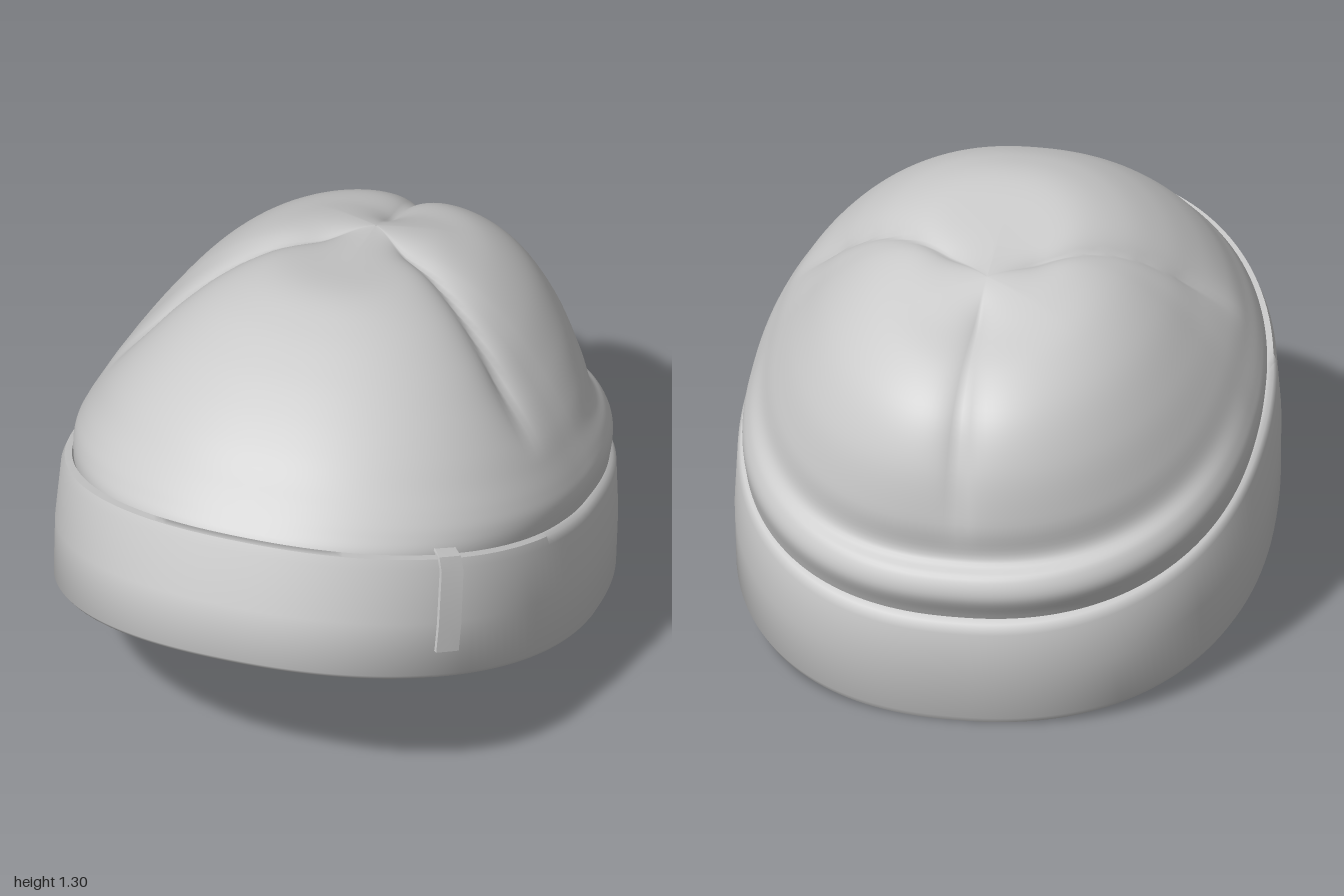
import * as THREE from 'three';
import { toCreasedNormals } from 'three/addons/utils/BufferGeometryUtils.js';

// A tilted ring is [front z, front y, back z, back y, half width, side z, side y].
function ringPoint([zf, yf, zb, yb, w, zs, ys], a) {
  const c = Math.cos(a), s = Math.sin(a);
  const k = Math.pow(Math.abs(c), 0.88);
  const x = w * Math.sign(s) * Math.pow(Math.abs(s), 0.88);
  const t = Math.pow(k, 1.12);
  return c > 0
    ? new THREE.Vector3(x, ys + (yf - ys) * t, zs + (zf - zs) * k)
    : new THREE.Vector3(x, ys + (yb - ys) * t, zs + (zb - zs) * k);
}

// Smoothly resample a list of rings
function resample(rings, count) {
  const pick = (i, j, t) => {
    const at = (n) => rings[Math.min(Math.max(n, 0), rings.length - 1)][j];
    const p0 = at(i - 1), p1 = at(i), p2 = at(i + 1), p3 = at(i + 2);
    return p1 + 0.5 * t * (p2 - p0 + t * (2 * p0 - 5 * p1 + 4 * p2 - p3 + t * (3 * (p1 - p2) + p3 - p0)));
  };
  return Array.from({ length: count + 1 }, (_, n) => {
    const u = (n / count) * (rings.length - 1);
    const i = Math.min(Math.floor(u), rings.length - 2);
    return rings[0].map((_, j) => pick(i, j, u - i));
  });
}

// Skin a grid of points, optionally closed along rows and across columns
function skin(rows, closeU, closeV) {
  const m = rows.length, n = rows[0].length, index = [];
  for (let i = 0; i < (closeV ? m : m - 1); i++) {
    for (let j = 0; j < (closeU ? n : n - 1); j++) {
      const i2 = (i + 1) % m, j2 = (j + 1) % n;
      const a = i * n + j, b = i * n + j2, c = i2 * n + j2, d = i2 * n + j;
      index.push(a, b, d, b, c, d);
    }
  }
  const g = new THREE.BufferGeometry().setFromPoints(rows.flat());
  g.setIndex(index);
  g.computeVertexNormals();
  return g;
}

const SEGMENTS = 160;
const fullRing = (r) =>
  Array.from({ length: SEGMENTS }, (_, j) => ringPoint(r, (j / SEGMENTS) * Math.PI * 2));

// Three seams spread from the apex and pinch the cloth inward
const APEX_Z = -0.4;
const SEAMS = [[0, -1], [0.79, 0.61], [-0.79, 0.61]];
function pinch(p, v) {
  const x = p.x, z = p.z - APEX_Z;
  let depth = 0;
  for (const [sx, sz] of SEAMS) {
    const along = x * sx + z * sz;
    if (along < 0) continue;
    const off = Math.abs(x * sz - z * sx);
    const fade = THREE.MathUtils.smoothstep(along, 0, 0.2) * THREE.MathUtils.smoothstep(v, 0.38, 0.6);
    depth = Math.max(depth, 0.04 * Math.exp(-off / 0.055) * fade);
  }
  const inward = new THREE.Vector3(0, 0.6, -0.15).sub(p).normalize();
  return p.addScaledVector(inward, depth);
}

function crownGeometry() {
  const rings = resample([
    [0.84, 0.80, -0.93, 0.30, 0.75, -0.1, 0.50],
    [0.845, 0.90, -0.965, 0.37, 0.765, -0.1, 0.60],
    [0.80, 0.955, -1.0, 0.44, 0.768, -0.1, 0.66],
    [0.75, 1.0, -0.985, 0.50, 0.75, -0.1, 0.71],
    [0.70, 1.04, -0.935, 0.545, 0.715, -0.1, 0.78],
    [0.62, 1.105, -0.95, 0.66, 0.67, -0.12, 0.86],
    [0.52, 1.17, -0.935, 0.83, 0.60, -0.14, 0.96],
    [0.40, 1.23, -0.87, 0.98, 0.50, -0.17, 1.08],
    [0.25, 1.28, -0.75, 1.085, 0.38, -0.2, 1.18],
    [0.08, 1.30, -0.60, 1.145, 0.25, -0.25, 1.235],
    [-0.15, 1.26, -0.48, 1.19, 0.12, -0.32, 1.235],
    [-0.399, 1.215, -0.401, 1.215, 0.001, -0.4, 1.215],
  ], 66);
  return skin(rings.map((r, i) => fullRing(r).map((p) => pinch(p, i / 66))), true, false);
}

// Turned-up cuff: outside wall up, over the lip, inside wall down
function cuffGeometry() {
  const rings = [
    [0.985, 0.565, -0.945, 0.003, 0.785, -0.05, 0.183],
    [1.0, 0.585, -0.955, 0.02, 0.796, -0.05, 0.20],
    [0.95, 0.74, -0.975, 0.17, 0.80, -0.05, 0.39],
    [0.89, 0.90, -0.998, 0.32, 0.79, -0.05, 0.57],
    [0.875, 0.93, -0.985, 0.35, 0.78, -0.05, 0.595],
    [0.845, 0.925, -0.95, 0.36, 0.76, -0.05, 0.60],
    [0.82, 0.87, -0.92, 0.33, 0.745, -0.05, 0.57],
    [0.90, 0.70, -0.91, 0.16, 0.758, -0.05, 0.37],
    [0.955, 0.565, -0.91, 0.01, 0.755, -0.05, 0.19],
  ];
  return skin(rings.map(fullRing), true, true);
}

// Small strip folded over the cuff's lip, its side edges tucked into the cuff
function tabGeometry() {
  const rings = [
    [0.965, 0.66, -0.97, 0.1, 0.785, -0.05, 0.29],
    [0.99, 0.66, -0.97, 0.1, 0.812, -0.05, 0.29],
    [0.966, 0.74, -0.97, 0.17, 0.815, -0.05, 0.39],
    [0.906, 0.90, -0.99, 0.32, 0.806, -0.05, 0.57],
    [0.89, 0.945, -0.98, 0.36, 0.79, -0.05, 0.615],
    [0.84, 0.945, -0.94, 0.36, 0.752, -0.05, 0.615],
    [0.81, 0.90, -0.92, 0.33, 0.735, -0.05, 0.57],
  ];
  const columns = [[0.742, 0.025], [0.742, 0], [0.79, 0], [0.836, 0], [0.836, 0.025]];
  const rows = rings.map((r) => columns.map(([a, tuck]) => {
    const p = ringPoint(r, a);
    return p.sub(new THREE.Vector3(Math.sin(a), 0.3, Math.cos(a)).multiplyScalar(tuck));
  }));
  return toCreasedNormals(skin(rows, false, false), 0.7);
}

export function createModel() {
  const group = new THREE.Group();
  group.name = 'knitCap';
  const material = new THREE.MeshStandardMaterial({ color: 0xcccccc, side: THREE.DoubleSide });
  const parts = {
    crown: crownGeometry(),
    cuff: toCreasedNormals(cuffGeometry(), 1.0),
    cuffTab: tabGeometry(),
  };
  for (const [name, geometry] of Object.entries(parts)) {
    const mesh = new THREE.Mesh(geometry, material);
    mesh.name = name;
    group.add(mesh);
  }
  return group;
}
